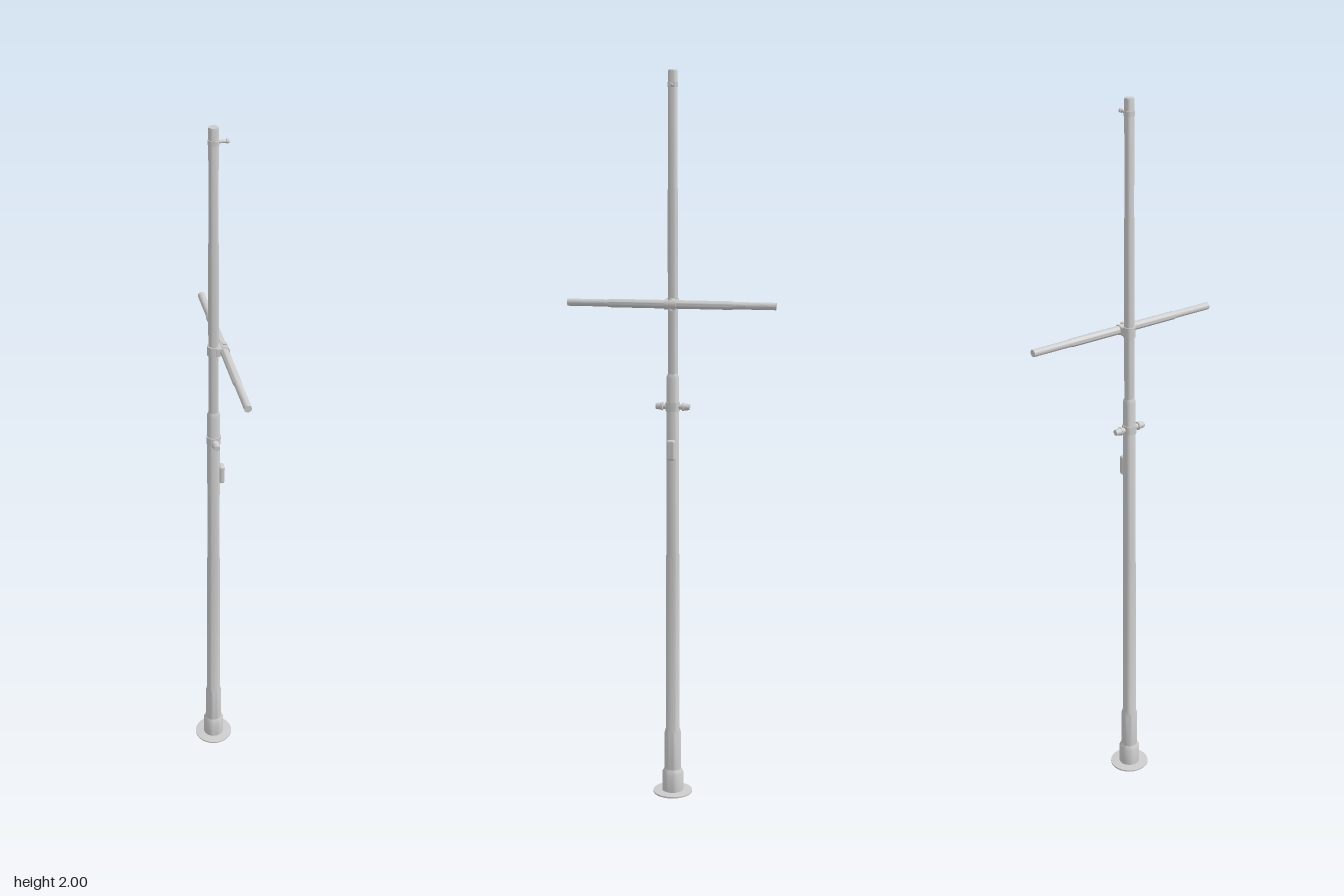
import * as THREE from 'three';
import { RoundedBoxGeometry } from 'three/addons/geometries/RoundedBoxGeometry.js';
import { toCreasedNormals } from 'three/addons/utils/BufferGeometryUtils.js';

export function createModel() {
  const model = new THREE.Group();
  const grey = new THREE.MeshStandardMaterial({ color: 0xcccccc, side: THREE.DoubleSide });

  function add(name, geometry, x = 0, y = 0, z = 0) {
    const mesh = new THREE.Mesh(geometry, grey);
    mesh.name = name;
    mesh.position.set(x, y, z);
    model.add(mesh);
    return mesh;
  }
  // Turned part from [radius, height] pairs
  const turned = (points, sides = 24) => toCreasedNormals(
    new THREE.LatheGeometry(points.map(([r, h]) => new THREE.Vector2(r, h)), sides), 0.6);

  // Ground flange
  add('baseFlange', turned([[0.028, 0], [0.055, 0], [0.055, 0.004], [0.028, 0.006]], 32));

  // Stepped pole, each section narrower than the one below
  add('baseSleeve', turned([[0, 0], [0.03, 0], [0.03, 0.058], [0.024, 0.07], [0, 0.07]]));
  add('lowerPole', turned([[0.024, 0.06], [0.023, 0.178], [0.0195, 0.19], [0.0185, 0.69],
    [0.0175, 0.7], [0.017, 1.19], [0.0135, 1.2]]));
  add('upperPole', turned([[0.0135, 1.19], [0.0135, 1.69], [0.0125, 1.7], [0.0125, 1.996],
    [0.0115, 2], [0, 2]]));

  // Crossarm beside the pole, slightly thicker in the middle
  const armX = 0.026, armY = 1.39;
  add('crossarm', turned([[0, -0.286], [0.0098, -0.286], [0.0098, -0.175], [0.0115, -0.165],
    [0.0115, 0.165], [0.0098, 0.175], [0.0098, 0.286], [0, 0.286]]), armX, armY).rotation.x = Math.PI / 2;

  // Clamp joining the crossarm to the pole
  add('clampCollar', turned([[0.0135, -0.014], [0.017, -0.014], [0.017, 0.014], [0.0135, 0.014]]), 0, armY);
  add('clampSaddle', new RoundedBoxGeometry(0.026, 0.024, 0.034, 2, 0.003), 0.015, armY);
  add('clampBand', new THREE.CylinderGeometry(0.0142, 0.0142, 0.032, 20), armX, armY).rotation.x = Math.PI / 2;
  add('clampBolt', new THREE.CylinderGeometry(0.006, 0.006, 0.034, 6), 0.03, armY);

  // Pair of tapered side pegs on a collar
  const pegY = 1.11;
  add('pegCollar', turned([[0.017, -0.012], [0.0195, -0.012], [0.0195, 0.012], [0.017, 0.012]]), 0, pegY);
  for (const side of [-1, 1]) {
    const peg = add('sidePeg', turned([[0.008, 0.012], [0.008, 0.026], [0.0115, 0.027], [0.0115, 0.031],
      [0.0105, 0.032], [0.008, 0.047], [0, 0.048]], 16), 0, pegY);
    peg.rotation.x = side * Math.PI / 2;
  }

  // Small rounded control box on the pole's left
  add('controlBox', new RoundedBoxGeometry(0.016, 0.056, 0.024, 3, 0.006), 0.022, 0.993);

  // Short hook arm near the tip
  const tipY = 1.962;
  add('tipBand', turned([[0.0125, -0.006], [0.0142, -0.006], [0.0142, 0.006], [0.0125, 0.006]]), 0, tipY);
  add('tipPeg', turned([[0.004, 0.01], [0.004, 0.03], [0.0055, 0.031], [0.0055, 0.037], [0, 0.038]], 12),
    0, tipY).rotation.z = -Math.PI / 2;

  return model;
}
